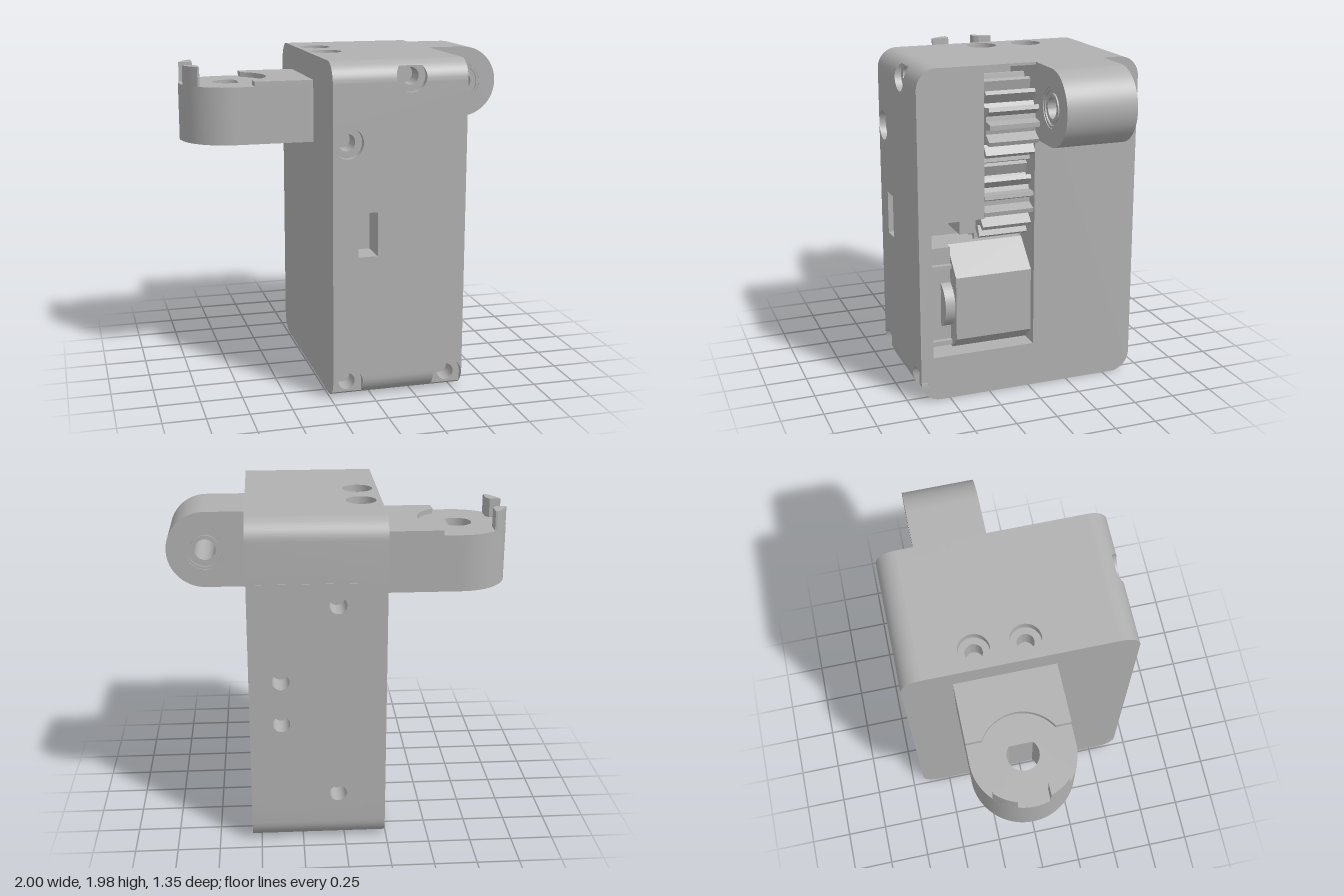
import * as THREE from 'three';
import { toCreasedNormals } from 'three/addons/utils/BufferGeometryUtils.js';

const grey = new THREE.MeshStandardMaterial({ color: 0xb0b0b0, side: THREE.DoubleSide });
grey.name = 'grey plastic';

// Housing limits
const L = -0.24, R = 0.555, H = 1.98, D = 0.675, C = 0.12;
const LIM = [0.0306, H - 0.0306];

const clamp = (v, a, b) => Math.min(b, Math.max(a, v));

function add(parent, name, geo, x = 0, y = 0, z = 0) {
  const m = new THREE.Mesh(geo, grey);
  m.name = name;
  m.position.set(x, y, z);
  parent.add(m);
  return m;
}

function extrude(shape, depth) {
  const g = new THREE.ExtrudeGeometry(shape, { depth, bevelEnabled: false, curveSegments: 24 });
  return toCreasedNormals(g, 0.5);
}

// Extrudes a plan outline (x, -z) upward
const extrudeUp = (shape, h) => extrude(shape, h).rotateX(-Math.PI / 2);

const circle = (x, y, r) => new THREE.Path().absarc(x, y, r, 0, Math.PI * 2, true);

function ring(x, y, outer, inner) {
  const s = new THREE.Shape().absarc(x, y, outer, 0, Math.PI * 2);
  s.holes.push(circle(x, y, inner));
  return s;
}

function quadGeometry(quads) {
  const pos = quads.flatMap(([a, b, c, d]) => [a, b, c, a, c, d].flat());
  const g = new THREE.BufferGeometry();
  g.setAttribute('position', new THREE.Float32BufferAttribute(pos, 3));
  return toCreasedNormals(g, 0.5);
}

// --- Sheets with pockets: holes are {x, b, r} circles or {x, b, w, h} slots ---
function levels(o) {
  if (o.w) return [o.b - o.h, o.b + o.h];
  return Array.from({ length: 17 }, (_, i) =>
    clamp(o.b + o.r * Math.sin(-Math.PI / 2 + Math.PI * i / 16), ...LIM_OF(o)));
}
const LIM_OF = o => o.free ? [-9, 9] : LIM;

function chord(o, b) {
  if (o.w) return o.w;
  if (o.drop && b < o.b) return o.r;
  return Math.sqrt(Math.max(0, o.r * o.r - (b - o.b) ** 2));
}

function sheet(quads, rows, edge, holes, depth, place) {
  rows = [...rows, ...holes.flatMap(levels)].sort((a, b) => a - b);
  for (let i = 0; i + 1 < rows.length; i++) {
    const [b0, b1] = [rows[i], rows[i + 1]];
    if (b1 - b0 < 1e-5) continue;
    const mid = (b0 + b1) / 2;
    const cut = holes.filter(o => { const l = levels(o); return mid > l[0] && mid < l.at(-1); })
      .sort((p, q) => p.x - q.x);
    const xs = b => {
      const [l, r] = edge(b);
      return [l, ...cut.flatMap(o => [Math.max(l, o.x - chord(o, b)), Math.min(r, o.x + chord(o, b))]), r];
    };
    const u = xs(b0), v = xs(b1);
    for (let k = 0; k < u.length; k += 2) {
      if (u[k + 1] - u[k] + v[k + 1] - v[k] < 1e-5) continue;
      quads.push([place(u[k], b0, depth(b0)), place(u[k + 1], b0, depth(b0)),
        place(v[k + 1], b1, depth(b1)), place(v[k], b1, depth(b1))]);
    }
  }
}

// Pocket wall and floor, then any narrower hole in the floor
function drill(quads, o, depth, place) {
  const ls = levels(o);
  const rim = [...ls.map(b => [o.x + chord(o, b), b]), ...ls.map(b => [o.x - chord(o, b), b]).reverse()];
  rim.forEach(([x, b], i) => {
    const [x2, b2] = rim[(i + 1) % rim.length];
    quads.push([place(x, b, depth(b)), place(x2, b2, depth(b2)), place(x2, b2, o.floor), place(x, b, o.floor)]);
  });
  const inner = o.inner ? [o.inner] : [];
  sheet(quads, ls, b => [o.x - chord(o, b), o.x + chord(o, b)], inner, () => o.floor, place);
  inner.forEach(n => drill(quads, n, () => o.floor, place));
}

function skin(rows, holes, depth, place) {
  const quads = [];
  sheet(quads, rows, () => [L, R], holes, depth, place);
  holes.forEach(o => drill(quads, o, depth, place));
  return quadGeometry(quads);
}

const screw = (x, b, floor, extra = {}) => ({
  x, b, r: 0.09, floor, ...extra,
  inner: { x, b, r: 0.05, floor: floor - 0.12, free: extra.free },
});

function housing() {
  const g = new THREE.Group();
  g.name = 'housing';
  const arc = Array.from({ length: 11 }, (_, i) => C - C * Math.cos(Math.PI / 2 * i / 10));
  const rows = [...arc, ...arc.map(y => H - y)];
  const round = y => {
    const e = Math.max(0, C - y, y - (H - C));
    return D - C + Math.sqrt(Math.max(0, C * C - e * e));
  };

  // Front with screw pockets and slot
  add(g, 'frontShell', skin(rows, [
    screw(0.22, 1.89, 0.635), screw(-0.15, 1.525, 0.635),
    screw(-0.15, 0.095, 0.635, { drop: true }), screw(0.465, 0.095, 0.635, { drop: true }),
    { x: -0.033, b: 0.99, w: 0.058, h: 0.13, floor: 0.5 },
  ], round, (x, y, d) => [x, y, d]));

  // Back with plain holes and a thin cover plate
  const backHoles = [[0.04, 1.49], [0.04, 0.31], [0.37, 1.035], [0.37, 0.77]];
  add(g, 'backShell', skin(rows, backHoles.map(([x, b]) => ({ x, b, r: 0.05, floor: 0.52 })),
    round, (x, y, d) => [x, y, -d]));
  const plate = new THREE.Shape([[-0.10, 0.2], [0.5, 0.2], [0.5, 1.62], [-0.10, 1.62]]
    .map(p => new THREE.Vector2(...p)));
  backHoles.forEach(([x, y]) => plate.holes.push(circle(x, y, 0.05)));
  add(g, 'backCover', extrude(plate, 0.004), 0, 0, -D - 0.003);

  // Top with two screw pockets, and flat underside
  add(g, 'topShell', skin([C - D, D - C],
    [screw(-0.12, -0.24, 1.93, { free: true }), screw(-0.12, 0.05, 1.93, { free: true })],
    () => H, (x, z, d) => [x, d, z]));
  add(g, 'underside', skin([C - D, D - C], [], () => 0, (x, z, d) => [x, d, z]));

  // Sides, drawn in (-z, y), with a small notch at the lower front corner
  const side = () => {
    const e = D - C, q = Math.PI / 2;
    const s = new THREE.Shape().moveTo(-e, 0).lineTo(e, 0);
    s.absarc(e, C, C, -q, 0).absarc(e, H - C, C, 0, q).absarc(-e, H - C, C, q, 2 * q);
    s.lineTo(-D, C).lineTo(-0.635, C).lineTo(-0.635, LIM[0]);
    return s.absarc(-e, C, C, 2 * q + 0.841, 3 * q);
  };
  const opening = [[-0.03, 0.27], [0.6, 0.27], [0.6, 1.09], [0.28, 1.09], [0.28, 1.965], [-0.03, 1.965]];
  const open = side();
  open.holes.push(new THREE.Path(opening.map(([z, y]) => new THREE.Vector2(-z, y))));
  add(g, 'openSide', new THREE.ShapeGeometry(open, 16).rotateY(Math.PI / 2), R);
  add(g, 'closedSide', new THREE.ShapeGeometry(side(), 16).rotateY(Math.PI / 2), L);

  // Walls and back of the side opening
  const back = 0.16;
  add(g, 'openingWalls', quadGeometry(opening.map(([z, y], i) => {
    const [z2, y2] = opening[(i + 1) % opening.length];
    return [[R, y, z], [R, y2, z2], [back, y2, z2], [back, y, z]];
  })));
  add(g, 'openingBack', new THREE.BoxGeometry(0.01, 1.695, 0.63), back, 1.1175, 0.285);
  add(g, 'openingLedge', new THREE.BoxGeometry(0.24, 0.62, 0.16), 0.28, 0.58, 0.52);
  return g;
}

function gear(teeth, root, tip, width) {
  const pts = [];
  for (let i = 0; i < teeth; i++) {
    for (const [f, r] of [[-0.32, root], [-0.13, tip], [0.13, tip], [0.32, root]]) {
      const a = (i + f) * Math.PI * 2 / teeth;
      pts.push(new THREE.Vector2(r * Math.cos(a), r * Math.sin(a)));
    }
  }
  return extrude(new THREE.Shape(pts), width);
}

function mechanism() {
  const g = new THREE.Group();
  g.name = 'mechanism';
  add(g, 'upperGear', gear(16, 0.195, 0.26, 0.3), 0.38, 1.64, -0.025);
  add(g, 'lowerGear', gear(16, 0.195, 0.26, 0.3), 0.295, 1.16, -0.025).rotation.z = 0.2;

  // Motor with sloped upper and lower edges
  const motor = new THREE.Shape([[0.17, 0.27], [0.43, 0.27], [0.51, 0.345], [0.51, 0.73], [0.35, 0.89], [0.17, 0.89]]
    .map(p => new THREE.Vector2(...p)));
  add(g, 'motor', extrude(motor, 0.47), 0, 0, -0.03);
  add(g, 'motorCap', new THREE.CylinderGeometry(0.145, 0.145, 0.06, 32).rotateX(Math.PI / 2), 0.35, 0.535, 0.47);
  for (const y of [0.3, 0.775]) add(g, 'motorTerminal', new THREE.BoxGeometry(0.06, 0.025, 0.12), 0.4, y, 0.5);
  add(g, 'stopBlock', new THREE.BoxGeometry(0.2, 0.13, 0.1), 0.3, 1.025, 0.33);
  return g;
}

// Rounded lug carrying a ball bearing
function bearingArm() {
  const g = new THREE.Group();
  g.name = 'bearingArm';
  const x = 0.78, y = 1.76, r = 0.22;
  const s = new THREE.Shape().moveTo(0.5, y - r).lineTo(x, y - r);
  s.absarc(x, y, r, -Math.PI / 2, Math.PI / 2).lineTo(0.5, y + r);
  s.holes.push(circle(x, y, 0.115));
  add(g, 'lug', extrude(s, 0.42), 0, 0, -0.45);
  add(g, 'outerRace', extrude(ring(x, y, 0.115, 0.1), 0.41), 0, 0, -0.445);
  add(g, 'bearingShield', extrude(ring(x, y, 0.102, 0.08), 0.39), 0, 0, -0.435);
  add(g, 'innerRace', extrude(ring(x, y, 0.083, 0.06), 0.41), 0, 0, -0.445);
  return g;
}

// Flat arm with a D-shaped socket and two prongs
function socketArm() {
  const g = new THREE.Group();
  g.name = 'socketArm';
  const x = -0.705, r = 0.295, q = Math.PI / 2;
  const s = new THREE.Shape().moveTo(-0.2, r).lineTo(x, r);
  s.absarc(x, 0, r, q, 3 * q).lineTo(-0.2, -r);
  const a = Math.acos(0.06 / 0.09);
  s.holes.push(new THREE.Path().absarc(x, 0, 0.09, a, Math.PI * 2 - a));
  add(g, 'armPlate', extrudeUp(s, 0.34), 0, 1.46, -0.09);

  const cap = new THREE.Shape().moveTo(-0.59, r).lineTo(-0.2, r).lineTo(-0.2, -r).lineTo(-0.59, -r);
  cap.absarc(x, 0, 0.235, -1.06, 1.06);
  add(g, 'raisedStep', extrudeUp(cap, 0.03), 0, 1.8, -0.09);

  for (const m of [1, -1]) {
    const outer = [0.21, 0.18, 0.15, 0.12, 0.09].map(v => [-Math.sqrt(r * r - v * v), v]);
    const pts = [[-0.215, 0.09], [-0.195, 0.12], [-0.195, 0.21], ...outer];
    const prong = new THREE.Shape(pts.map(([u, v]) => new THREE.Vector2(x + u, m * v)));
    add(g, 'prong', extrudeUp(prong, 0.115), 0, 1.8, -0.09);
  }
  return g;
}

export function createModel() {
  const model = new THREE.Group();
  model.name = 'gearedActuator';
  model.add(housing(), mechanism(), bearingArm(), socketArm());
  return model;
}
